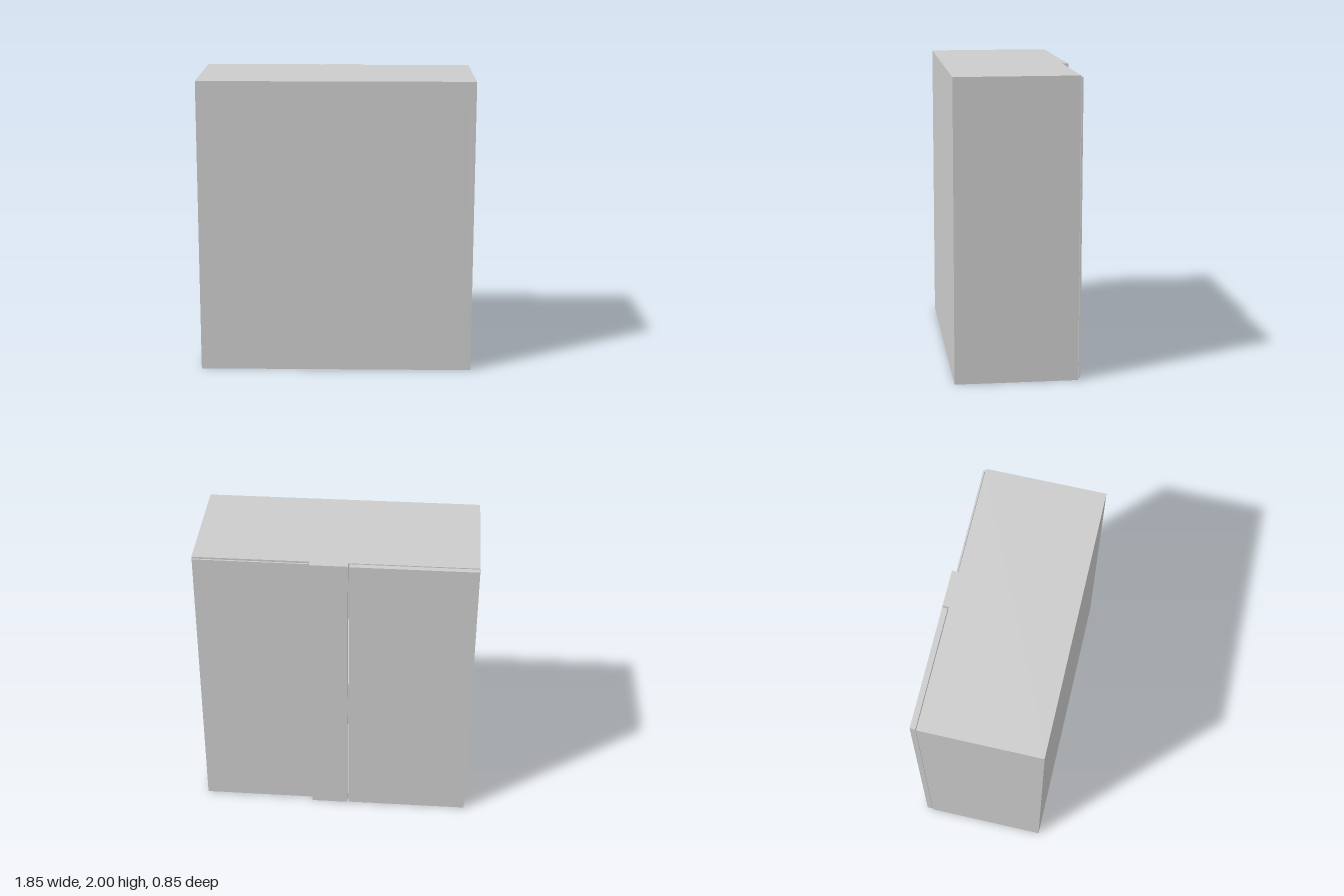
import * as THREE from 'three';

export function createModel() {
  const group = new THREE.Group();
  const material = new THREE.MeshStandardMaterial({ color: 0xcccccc });

  // Panel given by its extents along each axis
  function panel(name, x0, x1, y0, y1, z0, z1) {
    const mesh = new THREE.Mesh(new THREE.BoxGeometry(x1 - x0, y1 - y0, z1 - z0), material);
    mesh.name = name;
    mesh.position.set((x0 + x1) / 2, (y0 + y1) / 2, (z0 + z1) / 2);
    group.add(mesh);
  }

  const W = 0.927, H = 2, T = 0.045;   // half width, height, board thickness
  const rear = -0.385, front = 0.427;  // carcass depth

  // Carcass boards
  panel('leftSide', W - T, W, 0, H, rear, front);
  panel('rightSide', -W, -W + T, 0, H, rear, front);
  panel('bottomBoard', -W + T, W - T, 0, T, rear, front);
  panel('topBoard', -W + T, W - T, H - T, H, rear, front);
  panel('closingPanel', -W + T, W - T, T, H - T, front - 0.02, front);
  panel('middleShelf', -W + T, W - T, 0.98, 1.02, rear + 0.01, front - 0.02);

  // Wide outer door, narrow fixed panel and recessed sliding door
  panel('outerDoor', -0.922, -0.095, 0.003, H - 0.003, -0.427, -0.39);
  panel('fixedPanel', -0.085, 0.165, 0, H, -0.427, rear);
  panel('recessedDoor', 0.165, 0.921, 0.01, H - 0.01, -0.4, -0.389);

  return group;
}
